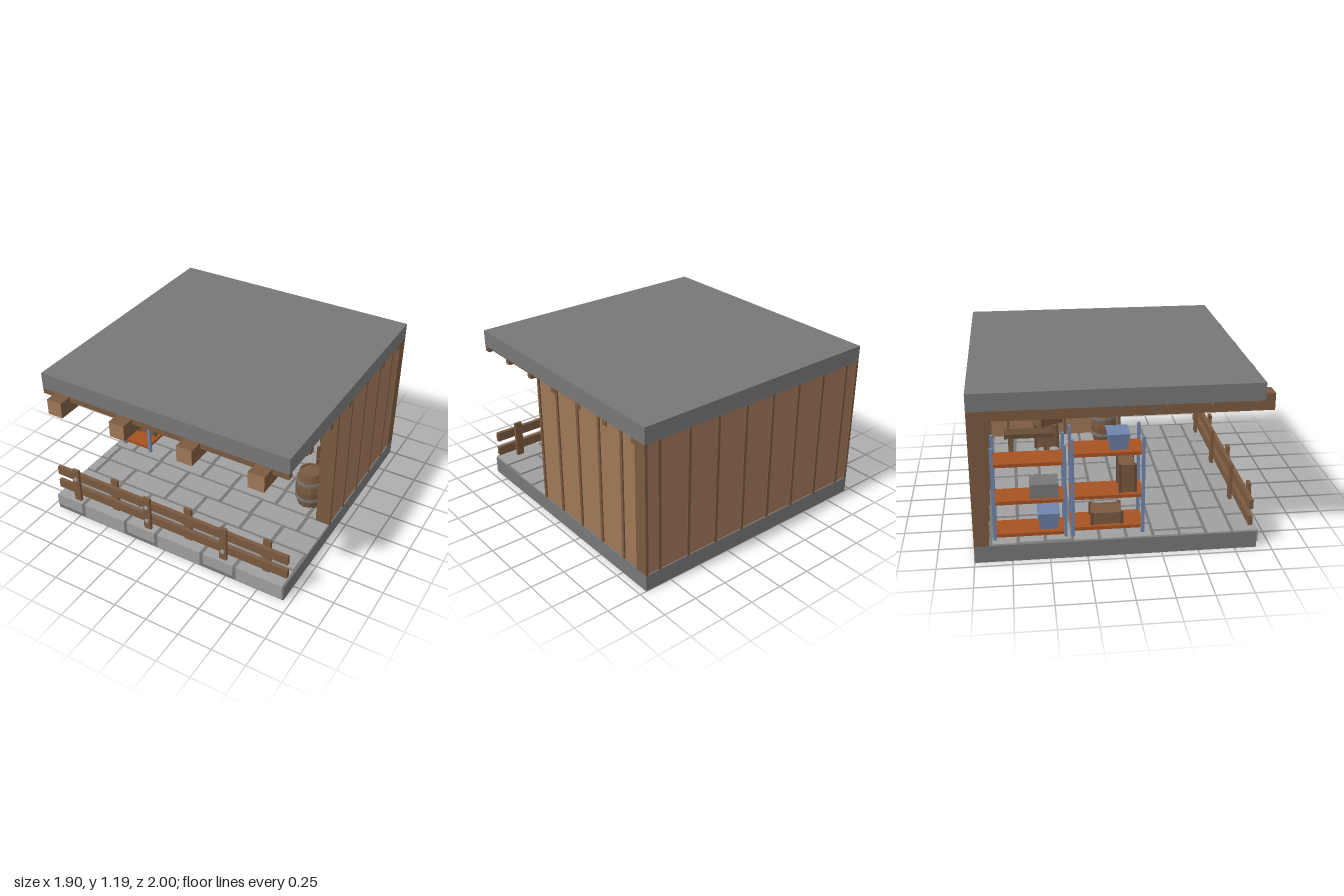
import * as THREE from 'three';

const mat = (name, color, extra = {}) => {
  const m = new THREE.MeshStandardMaterial({ color, ...extra });
  m.name = name;
  return m;
};

export function createModel() {
  const concrete = mat('concrete', 0x777777);
  const stone = mat('paleStone', 0x9f9f9f);
  const wood = mat('lightWood', 0x9f7757);
  const darkWood = mat('darkWood', 0x7a5a40);
  const crateWood = mat('crateWood', 0x664c36);
  const orange = mat('orangeBoard', 0xa65222);
  const blue = mat('blueMetal', 0x6f84ac);
  const bulbMat = mat('bulb', 0x4a3524);

  const root = new THREE.Group();
  root.name = 'storageShed';

  const group = (name, parent = root) => {
    const g = new THREE.Group();
    g.name = name;
    parent.add(g);
    return g;
  };
  const add = (name, geo, m, parent = root) => {
    const mesh = new THREE.Mesh(geo, m);
    mesh.name = name;
    parent.add(mesh);
    return mesh;
  };
  // Box given by its min and max on each axis
  const box = (name, m, x0, x1, y0, y1, z0, z1, parent = root) => {
    const mesh = add(name, new THREE.BoxGeometry(x1 - x0, y1 - y0, z1 - z0), m, parent);
    mesh.position.set((x0 + x1) / 2, (y0 + y1) / 2, (z0 + z1) / 2);
    return mesh;
  };

  // Slabs
  box('floorSlab', concrete, -0.95, 0.95, 0, 0.12, -1, 0.9);
  box('roofSlab', concrete, -0.95, 0.95, 1.07, 1.19, -1, 0.9);

  // Paving stones in staggered rows; the front row wraps over the slab edge
  const paving = group('paving');
  for (let r = 0; r < 10; r++) {
    const z1 = 0.9 - r * 0.18;
    const maxX = r < 4 ? 0.945 : 0.85;
    let x = -0.955 - ((r * 0.27) % 0.64);
    for (let i = 0; x < maxX; i++) {
      const w = i % 2 ? 0.352 : 0.236;
      const a = Math.max(x, -0.945), b = Math.min(x + w, maxX);
      if (b - a > 0.03) {
        box('pavingStone', stone, a, b, 0.115, 0.13, z1 - 0.157, r ? z1 : 0.91, paving);
        if (!r) box('edgeStone', stone, a, b, i % 2 ? 0.015 : 0.04, 0.115, 0.89, 0.91, paving);
      }
      x += w + 0.026;
    }
  }

  // Walls with battens on both faces
  const walls = group('walls');
  box('backWall', wood, -0.94, 0.94, 0.12, 1.07, -0.99, -0.91, walls);
  box('sideWall', wood, 0.85, 0.94, 0.12, 1.07, -0.91, 0.18, walls);
  for (let i = 0; i < 8; i++) {
    const x = 0.835 - i * 0.238;
    box('backBatten', darkWood, x - 0.011, x + 0.011, 0.12, 1.07, -1, -0.9, walls);
  }
  for (const x of [-0.94, 0.94]) box('cornerBatten', darkWood, x - 0.01, x + 0.01, 0.12, 1.07, -1, -0.9, walls);
  for (let i = 0; i < 5; i++) {
    const z = 0.18 - i * 0.238 + (i ? 0.013 : 0);
    box('sideBatten', darkWood, 0.84, 0.95, 0.12, 1.07, z - 0.011, z + 0.011, walls);
  }

  // Roof beams with pale sawn ends, and cross planks
  const beams = group('roofBeams');
  const beamMats = [darkWood, darkWood, darkWood, darkWood, wood, wood];
  for (const x of [-0.775, -0.26, 0.26, 0.775]) {
    box('beam', beamMats, x - 0.058, x + 0.058, 0.955, 1.072, -0.92, 1, beams);
  }
  for (let i = 0; i < 7; i++) {
    const z = 0.878 - i * 0.293;
    box('crossPlank', darkWood, -0.948, 0.948, 1.03, 1.071, z - 0.022, z + 0.022, beams);
  }

  // Front fence: posts alternate before and behind the rails
  const fence = group('fence');
  for (const y of [0.205, 0.325]) box('rail', darkWood, -0.95, 0.95, y - 0.034, y + 0.034, 0.836, 0.864, fence);
  for (let i = 0; i < 6; i++) {
    const x = -0.77 + i * 0.31;
    const z = i % 2 ? 0.825 : 0.874;
    box('fencePost', darkWood, x - 0.028, x + 0.028, 0.125, 0.405, z - 0.011, z + 0.011, fence);
  }
  for (const [x, y] of [[-0.77, 0.325], [-0.15, 0.325], [-0.15, 0.205], [0.47, 0.205]]) {
    const bolt = add('bolt', new THREE.CylinderGeometry(0.016, 0.016, 0.012, 8), stone, fence);
    bolt.rotation.x = Math.PI / 2;
    bolt.position.set(x, y, 0.888);
  }

  // Framed crate centred on x and z, standing on y
  const crate = (x, y, z, w, h, d, turn = 0) => {
    const g = group('crate');
    g.position.set(x, y, z);
    g.rotation.y = turn;
    const t = 0.02;
    box('cratePanels', darkWood, -w / 2 + 0.008, w / 2 - 0.008, 0, h - 0.006, -d / 2 + 0.008, d / 2 - 0.008, g);
    for (const sx of [-1, 1]) for (const sz of [-1, 1]) {
      const p = box('crateCorner', crateWood, -t / 2, t / 2, 0, h, -t / 2, t / 2, g);
      p.position.x = sx * (w - t) / 2;
      p.position.z = sz * (d - t) / 2;
    }
  };
  // Flared four-sided tub
  const tub = (x, y, z, w, h, d) => {
    const geo = new THREE.CylinderGeometry(Math.SQRT1_2, 0.54, 1, 4).rotateY(Math.PI / 4).toNonIndexed();
    geo.scale(w, h, d);
    geo.computeVertexNormals();
    add('tub', geo, blue).position.set(x, y + h / 2, z);
  };

  // Two shelf racks along the open side
  const rack = (x0, x1, z0, z1, top, levels) => {
    const g = group('shelfRack');
    for (const x of [x0, x1]) for (const z of [z0, z1]) {
      box('rackPost', blue, x - 0.011, x + 0.011, 0.12, top, z - 0.011, z + 0.011, g);
    }
    for (const y of levels) box('shelfBoard', orange, x0 + 0.012, x1 - 0.012, y - 0.024, y, z0 - 0.01, z1 + 0.01, g);
  };
  rack(-0.883, -0.645, -0.34, 0.127, 0.83, [0.18, 0.41, 0.718]);
  rack(-0.883, -0.665, -0.86, -0.39, 0.79, [0.16, 0.4, 0.67]);
  tub(-0.765, 0.718, -0.03, 0.17, 0.115, 0.15);
  crate(-0.757, 0.41, 0.03, 0.18, 0.205, 0.12);
  crate(-0.765, 0.18, -0.11, 0.17, 0.09, 0.22);
  tub(-0.77, 0.16, -0.5, 0.16, 0.12, 0.15);
  box('greyCase', concrete, -0.85, -0.69, 0.4, 0.5, -0.62, -0.43);

  // Barrel with hoops
  const barrel = group('barrel');
  barrel.position.set(0.705, 0.12, 0.03);
  const profile = [[0, 0], [0.082, 0], [0.1, 0.08], [0.106, 0.15], [0.1, 0.22], [0.082, 0.3], [0.07, 0.3], [0.07, 0.285], [0, 0.285]];
  const staves = new THREE.LatheGeometry(profile.map(([a, b]) => new THREE.Vector2(a, b)), 12).toNonIndexed();
  staves.computeVertexNormals();
  add('barrelStaves', staves, darkWood, barrel);
  for (const y of [0.08, 0.22]) {
    add('barrelHoop', new THREE.CylinderGeometry(0.105, 0.105, 0.024, 12), concrete, barrel).position.y = y;
  }

  // Stacked crates behind the barrel
  crate(0.68, 0.12, -0.45, 0.2, 0.21, 0.2);
  crate(0.66, 0.33, -0.45, 0.2, 0.21, 0.2, 0.52);

  // Sawhorse: beam on splayed legs
  const horse = group('sawhorse');
  horse.position.set(0.335, 0, -0.6);
  box('sawhorseBeam', crateWood, -0.06, 0.06, 0.35, 0.385, -0.19, 0.19, horse);
  for (const s of [-1, 1]) for (const z of [-0.14, 0.14]) {
    const leg = box('sawhorseLeg', crateWood, -0.025, 0.025, 0.12, 0.375, z - 0.02, z + 0.02, horse);
    leg.position.x = s * 0.06;
    leg.rotation.z = s * 0.36;
  }

  // Hanging lamp
  const lamp = group('hangingLamp');
  lamp.position.set(0, 0, -0.05);
  add('lampRod', new THREE.CylinderGeometry(0.008, 0.008, 0.1, 8), concrete, lamp).position.y = 1.025;
  const shadeMat = mat('lampShade', 0xa2a2a2, { side: THREE.DoubleSide });
  const shade = new THREE.CylinderGeometry(0.012, 0.118, 0.06, 12, 1, true).toNonIndexed();
  shade.computeVertexNormals();
  add('lampShade', shade, shadeMat, lamp).position.y = 0.952;
  add('lampBulb', new THREE.SphereGeometry(0.024, 10, 8), bulbMat, lamp).position.y = 0.92;

  return root;
}
